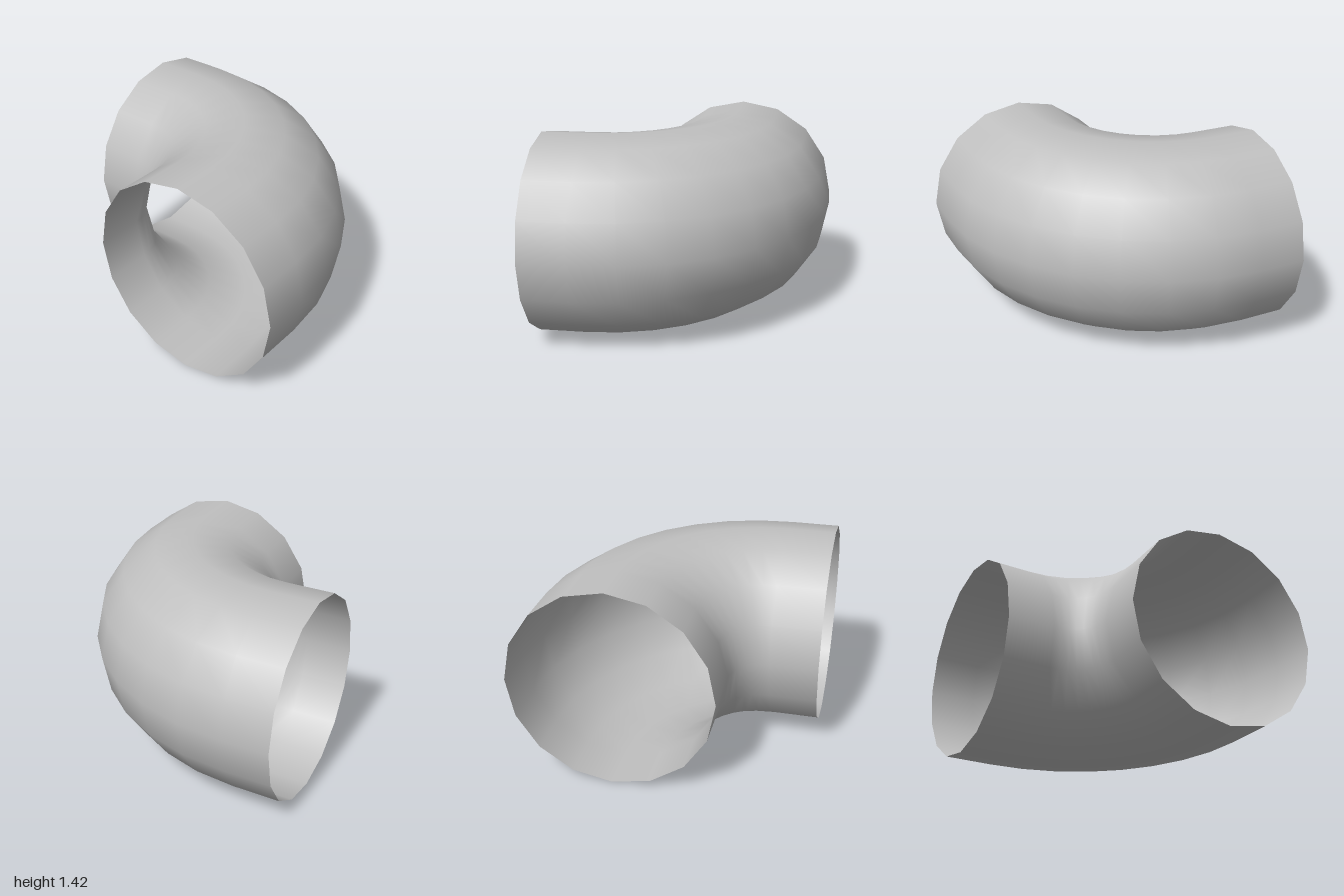
import * as THREE from 'three';

const PIPE_RADIUS = 0.71;
const BEND_RADIUS = 0.96;
const STRAIGHT = 0.33; // length of the straight piece at each end
const BEND_STEPS = 8;
const SIDES = 16;

// Bend an open cylinder, one unit of height per ring, into a quarter-turn elbow.
function elbowGeometry() {
  const rings = BEND_STEPS + 2;
  const geometry = new THREE.CylinderGeometry(PIPE_RADIUS, PIPE_RADIUS, rings, SIDES, rings, true);
  const position = geometry.attributes.position;
  const normal = geometry.attributes.normal;
  const bendCentre = new THREE.Vector3(STRAIGHT - 1, PIPE_RADIUS, 1 - STRAIGHT);
  const up = new THREE.Vector3(0, 1, 0);

  for (let i = 0; i < position.count; i++) {
    const ring = Math.round(rings / 2 - position.getY(i));
    const angle = THREE.MathUtils.clamp(ring - 1, 0, BEND_STEPS) / BEND_STEPS * Math.PI / 2;
    const outward = new THREE.Vector3(Math.sin(angle), 0, -Math.cos(angle));

    const point = bendCentre.clone()
      .addScaledVector(outward, BEND_RADIUS + position.getX(i))
      .addScaledVector(up, position.getZ(i));
    if (ring === 0) point.x -= STRAIGHT;
    if (ring === rings) point.z += STRAIGHT;
    position.setXYZ(i, point.x, point.y, point.z);

    const n = outward.multiplyScalar(normal.getX(i)).addScaledVector(up, normal.getZ(i));
    normal.setXYZ(i, n.x, n.y, n.z);
  }
  return geometry;
}

export function createModel() {
  const group = new THREE.Group();
  group.name = 'pipeElbow';

  const grey = new THREE.MeshStandardMaterial({ color: 0xc0c0c0, side: THREE.DoubleSide });
  grey.name = 'light grey';

  // Thin open pipe, seen inside and out
  const pipe = new THREE.Mesh(elbowGeometry(), grey);
  pipe.name = 'elbowPipe';
  group.add(pipe);
  return group;
}
